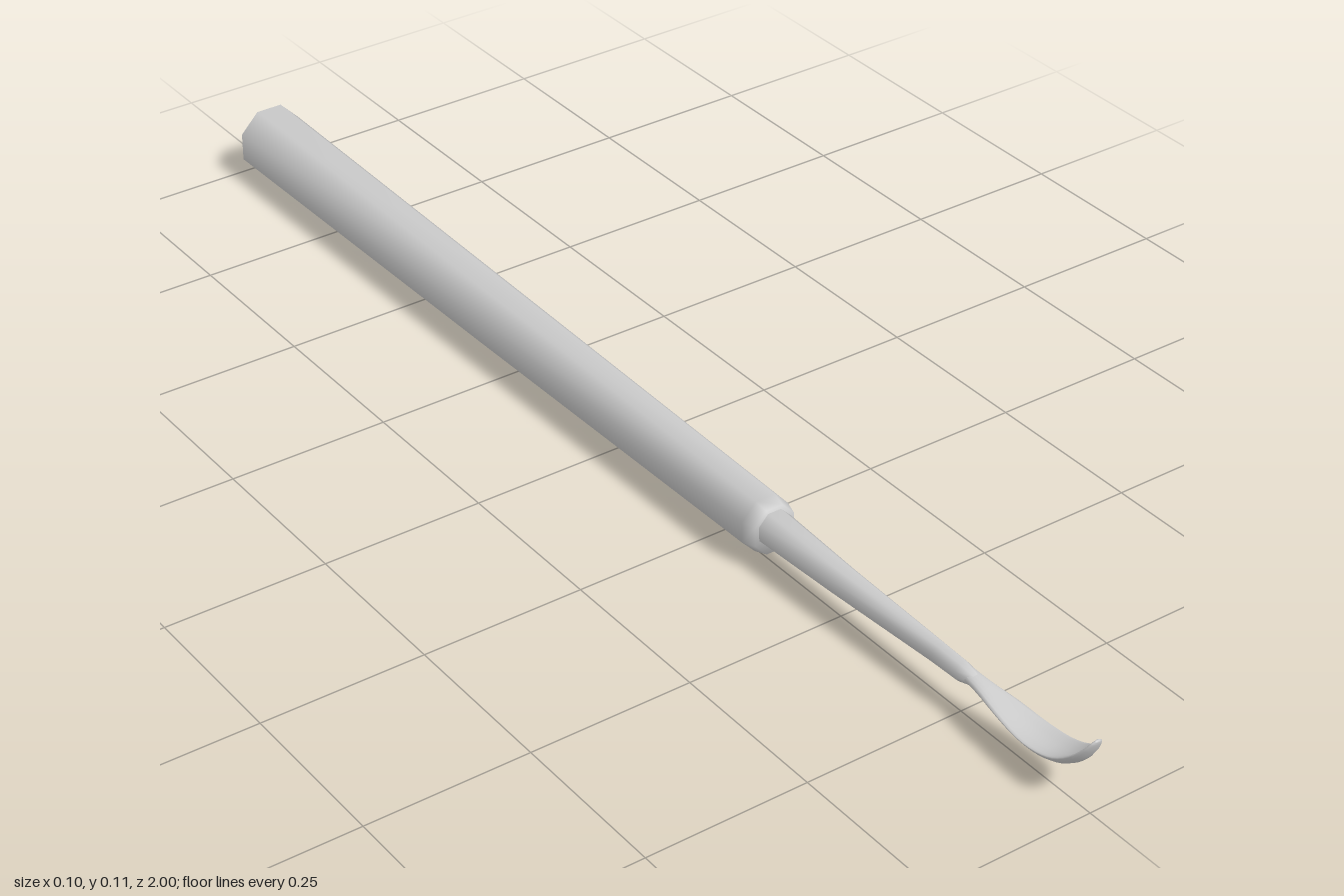
import * as THREE from 'three';

const material = new THREE.MeshStandardMaterial({ color: 0xcccccc });

// Closed skin over sections [x, y, z, halfWidth, halfThickness, dish];
// each section stands square to the path in the yz plane.
function loft(name, sections, sides) {
  const pos = [], index = [];
  const k = 1 / Math.cos(Math.PI / sides); // sizes are measured across the flats
  sections.forEach(([x, y, z, w, t, dish = 0], i) => {
    const a = sections[Math.max(i - 1, 0)];
    const b = sections[Math.min(i + 1, sections.length - 1)];
    const len = Math.hypot(b[1] - a[1], b[2] - a[2]);
    const ty = (b[1] - a[1]) / len, tz = (b[2] - a[2]) / len;
    for (let j = 0; j < sides; j++) {
      const ang = ((j + 0.5) / sides) * Math.PI * 2;
      const u = Math.cos(ang) * k;
      const v = Math.sin(ang) * k * t + dish * (u * u - 0.3);
      pos.push(x + u * w, y + v * tz, z - v * ty);
    }
  });
  const n = sections.length;
  for (let i = 0; i < n - 1; i++) {
    for (let j = 0; j < sides; j++) {
      const a = i * sides + j, b = i * sides + ((j + 1) % sides);
      index.push(a, b, a + sides, b, b + sides, a + sides);
    }
  }
  // End caps
  const first = pos.length / 3, last = first + 1, base = (n - 1) * sides;
  pos.push(...sections[0].slice(0, 3), ...sections[n - 1].slice(0, 3));
  for (let j = 0; j < sides; j++) {
    const m = (j + 1) % sides;
    index.push(first, m, j, last, base + j, base + m);
  }
  const geometry = new THREE.BufferGeometry();
  geometry.setAttribute('position', new THREE.Float32BufferAttribute(pos, 3));
  geometry.setIndex(index);
  geometry.computeVertexNormals();
  const mesh = new THREE.Mesh(geometry, material);
  mesh.name = name;
  return mesh;
}

export function createModel() {
  const group = new THREE.Group();
  group.name = 'scoopTool';

  // Octagonal handle, slightly thicker toward the back, with bevelled ends
  group.add(loft('handle', [
    [0, 0.055, -1.0, 0.036, 0.038],
    [0, 0.055, -0.985, 0.052, 0.054],
    [0, 0.055, -0.3, 0.046, 0.047],
    [0, 0.056, 0.33, 0.039, 0.041],
    [0, 0.057, 0.352, 0.033, 0.035],
  ], 8));

  // Tapered shaft ending in a small collar
  group.add(loft('shaft', [
    [0, 0.06, 0.33, 0.027, 0.027],
    [0, 0.06, 0.5, 0.021, 0.021],
    [0.002, 0.062, 0.7, 0.014, 0.015],
    [0.002, 0.062, 0.745, 0.013, 0.014],
    [0.003, 0.062, 0.77, 0.009, 0.008],
  ], 8));

  // Upturned scoop: path and widths smoothed by a spline
  const rows = [
    [0.745, 0.063, 0.011, 0.009, 0],
    [0.78, 0.061, 0.013, 0.008, 0.001],
    [0.83, 0.053, 0.021, 0.007, 0.006],
    [0.88, 0.046, 0.026, 0.006, 0.009],
    [0.92, 0.048, 0.027, 0.006, 0.01],
    [0.95, 0.058, 0.026, 0.006, 0.009],
    [0.975, 0.076, 0.022, 0.005, 0.007],
    [0.99, 0.096, 0.015, 0.004, 0.003],
    [0.996, 0.108, 0.009, 0.003, 0.001],
    [0.998, 0.113, 0.003, 0.002, 0],
  ];
  const path = new THREE.CatmullRomCurve3(rows.map(([z, y]) => new THREE.Vector3(0.004, y, z)));
  const size = new THREE.CatmullRomCurve3(rows.map(([, , w, t, d]) => new THREE.Vector3(w, t, d)),
    false, 'catmullrom');
  const scoop = [];
  for (let i = 0; i <= 27; i++) {
    const p = path.getPoint(i / 27), s = size.getPoint(i / 27);
    scoop.push([p.x, p.y, p.z, s.x, s.y, s.z]);
  }
  group.add(loft('scoop', scoop, 16));

  return group;
}
